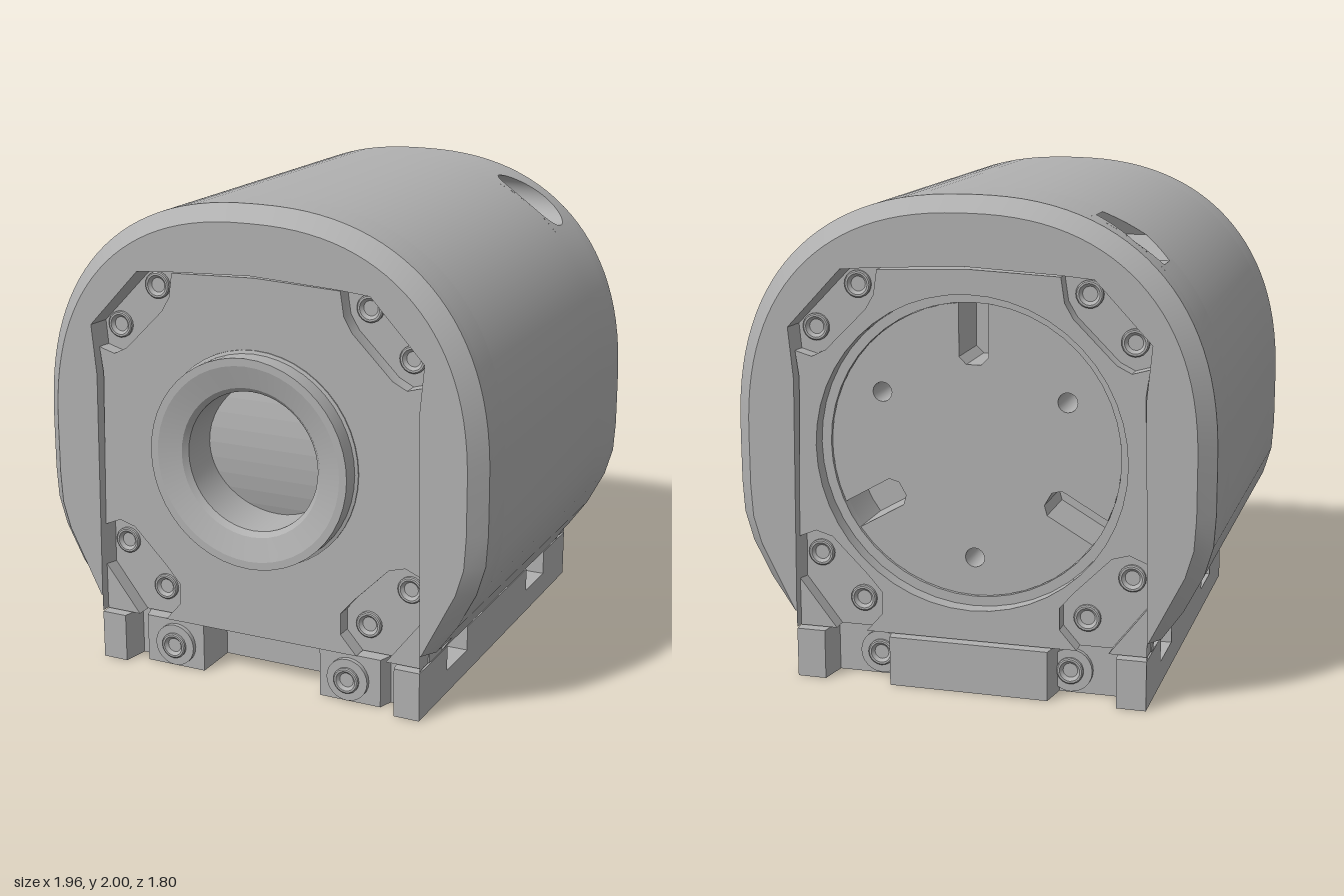
import * as THREE from 'three';
import { toCreasedNormals } from 'three/addons/utils/BufferGeometryUtils.js';

const CY = 0.976; // height of the main axis
const BOLT_Y = 1.83, BOLT_Z = -0.655; // cross bolt through the top of the shell
const POW = 2.36; // squareness of the shell curve

export function createModel() {
  const model = new THREE.Group();
  const grey = new THREE.MeshStandardMaterial({ color: 0xb0b0b0, side: THREE.DoubleSide });
  grey.name = 'grey';

  const add = (name, geo, crease = 0.5) => {
    const mesh = new THREE.Mesh(toCreasedNormals(geo, crease), grey);
    mesh.name = name;
    model.add(mesh);
  };
  const vec = (pts) => pts.map(([x, y]) => new THREE.Vector2(x, y));
  const circle = (x, y, r, n = 48) => Array.from({ length: n }, (_, i) => {
    const a = (i / n) * Math.PI * 2;
    return [x + r * Math.cos(a), y + r * Math.sin(a)];
  });
  const shapeOf = (pts, holes = []) => {
    const s = new THREE.Shape(vec(pts));
    holes.forEach((h) => s.holes.push(new THREE.Path(vec(circle(...h)))));
    return s;
  };
  const mirrored = (half) => [...half, ...half.filter(([x]) => x > 0).reverse().map(([x, y]) => [-x, y])];
  const slab = (shape, z0, z1) => new THREE.ExtrudeGeometry(shape, { depth: Math.abs(z1 - z0), bevelEnabled: false })
    .translate(0, 0, Math.min(z0, z1));

  // Skin over a run of 3D sections with equal point counts
  const loft = (sections) => {
    const idx = [], n = sections[0].length;
    for (let j = 0; j < sections.length - 1; j++) {
      for (let i = 0; i < n - 1; i++) {
        const a = j * n + i, b = a + n;
        idx.push(a, a + 1, b, a + 1, b + 1, b);
      }
    }
    const g = new THREE.BufferGeometry();
    g.setAttribute('position', new THREE.Float32BufferAttribute(sections.flat(2), 3));
    g.setIndex(idx);
    return g;
  };
  const at = (pts, z) => pts.map(([x, y]) => [x, y, z]);

  // Shell outline, right half: squarish round top, flat side, tapering foot
  const halfOutline = (inset) => {
    const t = inset / 0.065, half = [];
    const outer = [[0.775, 0.28], [0.86, 0.4], [0.937, 0.55], [0.972, 0.67]];
    const inner = [[0.735, 0.28], [0.805, 0.42], [0.875, 0.56], [0.907, 0.67]];
    outer.forEach(([x, y], i) => half.push([x + (inner[i][0] - x) * t, y + (inner[i][1] - y) * t]));
    half.push([0.98 - inset, 0.8]);
    for (let i = 0; i <= 28; i++) {
      const a = (Math.PI / 2) * (i / 28);
      half.push([i === 28 ? 0 : (0.98 - inset) * Math.cos(a) ** (2 / POW), 1 + (1 - inset) * Math.sin(a) ** (2 / POW)]);
    }
    return half;
  };
  const edgeX = (y) => 0.98 * (1 - (y - 1) ** POW) ** (1 / POW);
  const full = mirrored([[0.73, 0.21], ...halfOutline(0)]);
  const ends = mirrored([[0.73, 0.21], [0.73, 0.28], ...halfOutline(0)]);
  const lip = (inset) => mirrored([[0.73, 0.28], ...halfOutline(inset)]);

  // Solid parts of the shell, with the front bore and rear hub opening
  add('shellFront', slab(shapeOf(ends, [[0, CY, 0.3]]), 0.62, 0.75));
  add('shellMiddle', slab(shapeOf(full), -0.55, 0.62));
  add('shellRear', slab(shapeOf(ends, [[0, CY, 0.6]]), -0.8, -0.76));
  add('hubWall', new THREE.CylinderGeometry(0.6, 0.6, 0.25, 48, 1, true).rotateX(Math.PI / 2).translate(0, CY, -0.675));

  // Band around the cross bolt: round counterbore on one side, hexagonal nut pocket on the other
  const Z0 = -0.55, Z1 = -0.76, FLOOR = 0.38;
  const pockets = [
    { side: 1, h: 0.1, width: (d) => Math.sqrt(Math.max(0, 0.01 - d * d)) },
    { side: -1, h: 0.091, width: (d) => 0.105 - Math.abs(d) / 1.732 },
  ];
  for (const { side, h, width } of pockets) {
    const sided = full.filter(([x]) => x * side >= 0).sort((a, b) => a[1] - b[1]);
    const lo = BOLT_Y - h, hi = BOLT_Y + h;
    const below = [...sided.filter(([, y]) => y < lo), [side * edgeX(lo), lo]];
    const above = [[side * edgeX(hi), hi], ...sided.filter(([, y]) => y > hi)];
    add('shellBand', loft([at(below, Z0), at(below, Z1)]));
    add('shellBandTop', loft([at(above, Z0), at(above, Z1)]));
    const rows = Array.from({ length: 25 }, (_, k) => {
      const d = -h * Math.cos((Math.PI * k) / 24);
      return { x: side * edgeX(BOLT_Y + d), y: BOLT_Y + d, w: width(d) };
    });
    for (const [z, s] of [[Z0, 1], [Z1, -1]]) {
      add('pocketSurround', loft(rows.map(({ x, y, w }) => [[x, y, z], [x, y, BOLT_Z + s * w]])));
    }
    const loop = [...rows.map(({ x, y, w }) => [x, y, BOLT_Z + w]),
      ...[...rows].reverse().map(({ x, y, w }) => [x, y, BOLT_Z - w])];
    loop.push(loop[0]);
    add('pocketWall', loft([loop, loop.map(([, y, z]) => [side * FLOOR, y, z])]));
    const floor = shapeOf(loop.slice(0, -1).map(([, y, z]) => [-z, y]), [[-BOLT_Z, BOLT_Y, 0.05, 24]]);
    add('pocketFloor', new THREE.ShapeGeometry(floor).rotateY(Math.PI / 2).translate(side * FLOOR, 0, 0));
  }
  add('crossBore', new THREE.CylinderGeometry(0.05, 0.05, 2 * FLOOR, 24, 1, true)
    .rotateZ(Math.PI / 2).translate(0, BOLT_Y, BOLT_Z));

  // Low socket bolt; dir is +1 facing front, -1 facing back
  const bolt = (x, y, z, dir) => {
    const p = [[0.055, 0], [0.055, 0.012], [0.05, 0.016], [0.042, 0.016], [0.03, 0.002], [0, 0.002]];
    add('bolt', new THREE.LatheGeometry(vec(p), 20).rotateX((dir * Math.PI) / 2).translate(x, y, z));
  };

  // End caps: bevelled rim, recessed plate with corner pockets and bolts
  const opening = mirrored([[0.73, 0.21], [0.73, 0.28], [0.715, 1.25], [0.735, 1.46], [0.51, 1.7], [0.37, 1.712], [0, 1.73]]);
  const plate = mirrored([[0.44, 0.21], [0.37, 0.29], [0.37, 0.38], [0.43, 0.45], [0.58, 0.6], [0.65, 0.62], [0.722, 0.59],
    [0.705, 1.25], [0.72, 1.36], [0.65, 1.34], [0.59, 1.37], [0.42, 1.54], [0.385, 1.6], [0.37, 1.7], [0, 1.715]]);
  const endCap = (dir, face, holeR) => {
    const floor = face - 0.1, raised = face - 0.035;
    add('shellBevel', loft([at(lip(0), dir * floor), at(lip(0), dir * (face - 0.065)), at(lip(0.065), dir * face)]));
    const uFace = [...mirrored(halfOutline(0.065)), ...opening.slice(1, -1).reverse()];
    add('rimFace', new THREE.ShapeGeometry(shapeOf(uFace)).translate(0, 0, dir * face));
    const inner = opening.map(([x, y]) => [x * 0.988, y > 1.5 ? y - 0.01 : y]);
    add('rimInnerWall', loft([at(opening, dir * face), at(inner, dir * floor)]));
    add('endPlate', slab(shapeOf(plate, [[0, CY, holeR]]), dir * floor, dir * raised));
    for (const s of [1, -1]) {
      add('plateCorner', slab(shapeOf([[0.57 * s, 0.21], [0.725 * s, 0.21], [0.725 * s, 0.41]]), dir * floor, dir * raised));
      for (const [x, y] of [[0.47, 1.63], [0.65, 1.45], [0.65, 0.51], [0.47, 0.33]]) bolt(x * s, y, dir * floor, dir);
    }
  };
  endCap(1, 0.85, 0.43);
  endCap(-1, 0.9, 0.64);

  // Front collar with a shallow dished face and straight bore
  const collar = [[0.45, 0.75], [0.45, 0.82], [0.437, 0.825], [0.437, 0.9], [0.405, 0.9], [0.31, 0.872], [0.29, 0.85], [0.29, 0.62]];
  add('frontCollar', new THREE.LatheGeometry(vec(collar), 48).rotateX(Math.PI / 2).translate(0, CY, 0), 0.25);
  // Ribbed rotor seen through the bore
  add('rotor', new THREE.CylinderGeometry(0.9, 0.9, 0.6, 10, 1, true, -0.36, 0.72)
    .rotateY(Math.PI / 2).rotateZ(Math.PI / 2).rotateX(Math.PI / 2).translate(0, CY, -0.22), 0.01);

  // Rear hub disc with three slots and three holes
  const disc = [];
  for (let k = 0; k < 3; k++) {
    const a = Math.PI / 2 + (k * Math.PI * 2) / 3;
    const put = (r, w) => disc.push([r * Math.cos(a) - w * Math.sin(a), CY + r * Math.sin(a) + w * Math.cos(a)]);
    for (const [r, w] of [[0.595, -0.06], [0.38, -0.06], [0.35, -0.03], [0.35, 0.03], [0.38, 0.06], [0.595, 0.06]]) put(r, w);
    for (let i = 1; i < 16; i++) {
      const b = a + 0.1 + (i / 16) * ((Math.PI * 2) / 3 - 0.2);
      disc.push([0.598 * Math.cos(b), CY + 0.598 * Math.sin(b)]);
    }
  }
  const discHoles = [30, 150, 270].map((d) => {
    const a = (d * Math.PI) / 180;
    return [0.44 * Math.cos(a), CY + 0.44 * Math.sin(a), 0.04, 16];
  });
  add('rearHub', slab(shapeOf(disc, discHoles), -0.55, -0.79));

  // Base: two plan layers; the upper one has the side notches
  const basePlan = (notches) => mirrored([
    [0.27, -0.6], [0.27, -0.8], [0.54, -0.8], [0.56, -0.74], [0.6, -0.74], [0.62, -0.85], [0.73, -0.85],
    ...(notches ? [[0.73, -0.56], [0.62, -0.56], [0.62, -0.34], [0.73, -0.34],
      [0.73, 0.38], [0.62, 0.38], [0.62, 0.61], [0.73, 0.61]] : []),
    [0.73, 0.9], [0.61, 0.9], [0.59, 0.78], [0.35, 0.78], [0.33, 0.9]]);
  const holes = [];
  for (const s of [1, -1]) {
    for (const [x, z] of [[0.62, 0.45], [0.62, -0.49], [0.39, 0.34], [0.39, -0.34]]) {
      holes.push([x * s, -z, x > 0.5 ? 0.045 : 0.035, 16]);
    }
  }
  const lower = shapeOf(basePlan(false), holes);
  const slot = mirrored([[0.32, -0.14], [0.39, -0.07], [0.39, 0.07], [0.32, 0.14]]);
  lower.holes.push(new THREE.Path(vec(slot)));
  add('baseLower', slab(lower, 0, 0.1).rotateX(-Math.PI / 2));
  add('baseUpper', slab(shapeOf(basePlan(true)), 0.1, 0.205).rotateX(-Math.PI / 2));

  // Clamp bosses and bolts at both ends of the base
  for (const s of [1, -1]) {
    for (const [z, dir] of [[0.8, 1], [-0.78, -1]]) {
      add('baseBoss', new THREE.CylinderGeometry(0.09, 0.09, 0.03, 24).rotateX(Math.PI / 2).translate(0.4 * s, 0.1, z + dir * 0.005));
      bolt(0.4 * s, 0.1, z + dir * 0.018, dir);
    }
  }
  return model;
}
